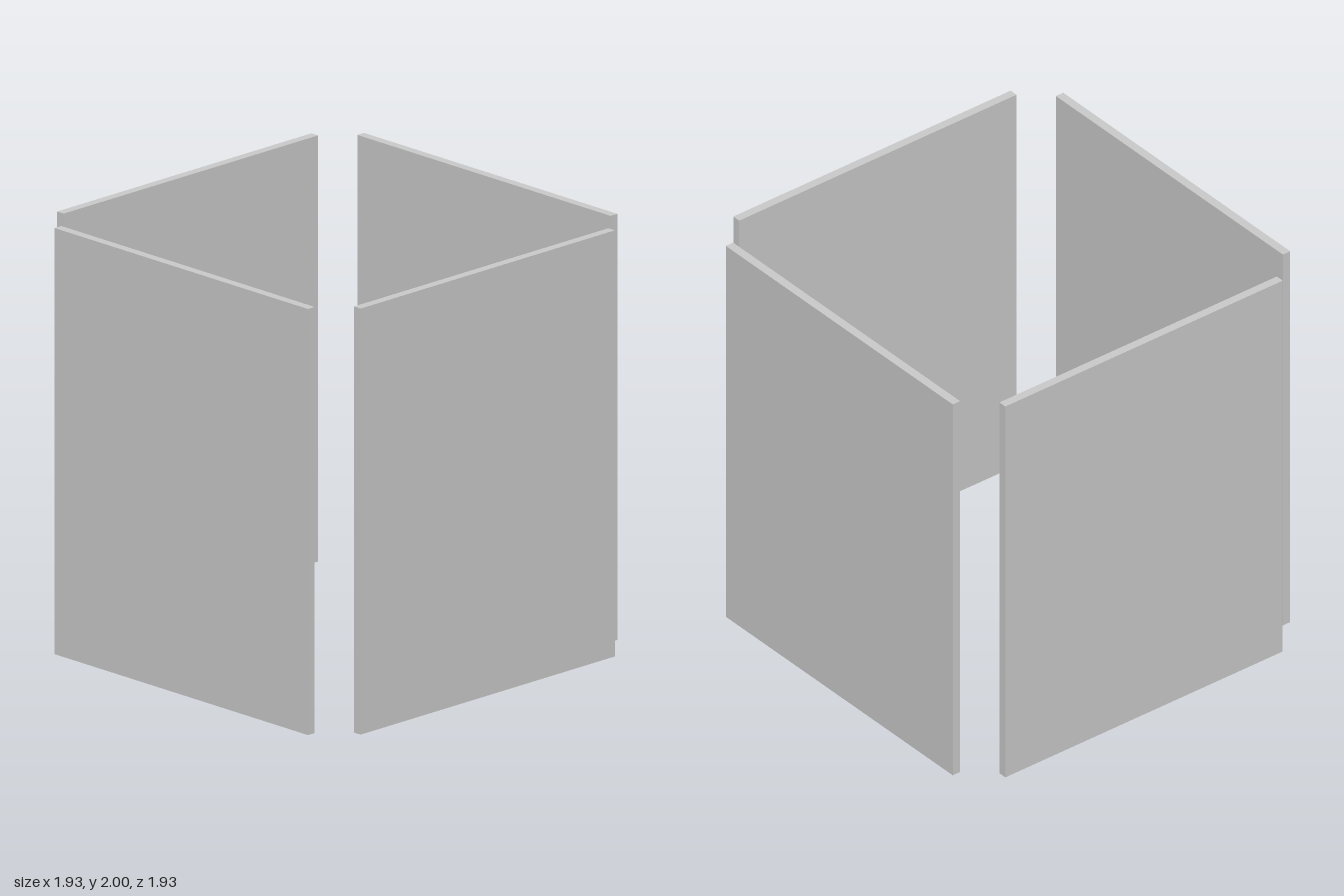
import * as THREE from 'three';

const HEIGHT = 2;
const THICKNESS = 0.042;
const OFFSET = 0.945; // centre of each panel from the middle

export function createModel() {
  const group = new THREE.Group();
  group.name = 'panelEnclosure';
  const material = new THREE.MeshStandardMaterial({ color: 0xcccccc, flatShading: true });

  const addPanel = (name, width, depth, x, z) => {
    const panel = new THREE.Mesh(new THREE.BoxGeometry(width, HEIGHT, depth), material);
    panel.name = name;
    panel.position.set(x, HEIGHT / 2, z);
    group.add(panel);
  };

  // Wider front and back panels
  addPanel('frontPanel', 1.612, THICKNESS, 0, OFFSET);
  addPanel('backPanel', 1.612, THICKNESS, 0, -OFFSET);

  // Slightly narrower side panels, leaving the corners open
  addPanel('leftPanel', THICKNESS, 1.588, OFFSET, 0);
  addPanel('rightPanel', THICKNESS, 1.588, -OFFSET, 0);

  return group;
}
